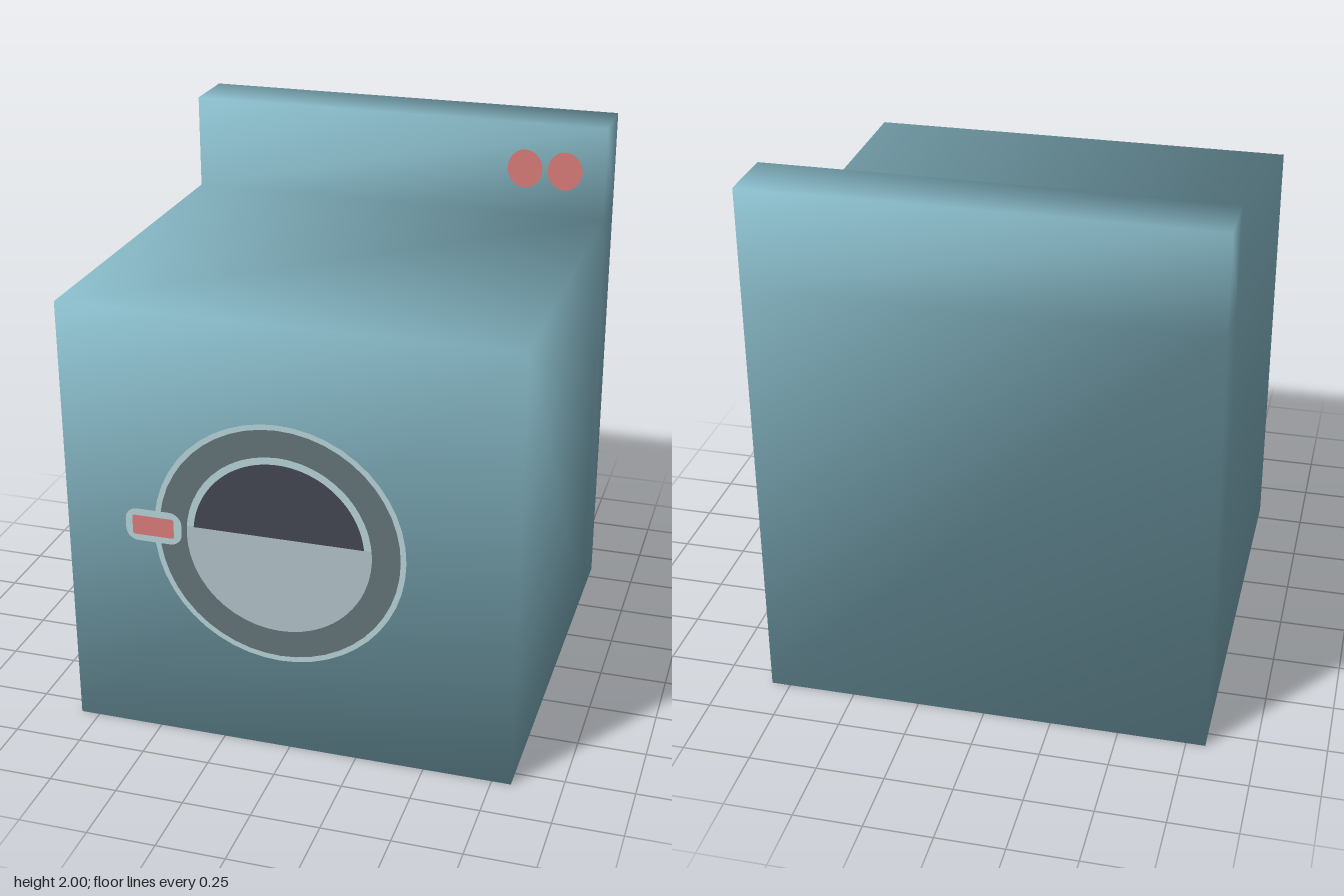
import * as THREE from 'three';

const material = (name, color, side = THREE.FrontSide) => {
  const m = new THREE.MeshStandardMaterial({ color, side });
  m.name = name;
  return m;
};

const HALF = 0.82;        // half width and half depth
const TOP = 1.64;         // top of the cabinet
const PANEL_Z = -0.585;   // front of the raised control panel

// Cabinet and control panel: one side profile (z, y) spanned across x, with
// soft normals shared by all faces meeting at a corner.
function cabinetGeometry() {
  const profile = [
    [HALF, 0], [HALF, TOP], [PANEL_Z, TOP], [PANEL_Z, 2],
    [-HALF, 2], [-HALF, TOP], [-HALF, 0], [PANEL_Z, 0],
  ];
  const points = profile.flatMap(([z, y]) => [
    new THREE.Vector3(-HALF, y, z), new THREE.Vector3(HALF, y, z),
  ]);
  const quads = [];
  // walls running across the width
  profile.forEach((_, i) => {
    const j = (i + 1) % profile.length;
    quads.push([2 * i, 2 * i + 1, 2 * j + 1, 2 * j]);
  });
  // right and left sides
  for (const q of [[0, 1, 2, 7], [7, 2, 5, 6], [2, 3, 4, 5]]) {
    quads.push(q.map((i) => 2 * i));
    quads.push(q.map((i) => 2 * i + 1).reverse());
  }
  const normals = points.map(() => new THREE.Vector3());
  const index = [];
  for (const [a, b, c, d] of quads) {
    const n = points[b].clone().sub(points[a])
      .cross(points[c].clone().sub(points[a])).normalize();
    for (const i of [a, b, c, d]) normals[i].add(n);
    index.push(a, b, c, a, c, d);
  }
  normals.forEach((n) => n.normalize());
  const flat = (list) => list.flatMap((v) => v.toArray());
  const geometry = new THREE.BufferGeometry();
  geometry.setAttribute('position', new THREE.Float32BufferAttribute(flat(points), 3));
  geometry.setAttribute('normal', new THREE.Float32BufferAttribute(flat(normals), 3));
  geometry.setIndex(index);
  return geometry;
}

// Rounded rectangle centred on the origin
function roundedRect(w, h, r) {
  const x = w / 2 - r, y = h / 2 - r;
  const s = new THREE.Shape();
  s.absarc(x, y, r, 0, Math.PI / 2);
  s.absarc(-x, y, r, Math.PI / 2, Math.PI);
  s.absarc(-x, -y, r, Math.PI, Math.PI * 1.5);
  s.absarc(x, -y, r, Math.PI * 1.5, Math.PI * 2);
  s.closePath();
  return s;
}

// Part of a disc cut by a horizontal line; upper or lower piece
function discSegment(radius, cut, upper) {
  const a = Math.asin(cut / radius);
  const s = new THREE.Shape();
  if (upper) s.absarc(0, 0, radius, a, Math.PI - a);
  else s.absarc(0, 0, radius, Math.PI - a, Math.PI * 2 + a);
  s.closePath();
  return s;
}

export function createModel() {
  const blue = material('cabinet blue', 0x88bac8);
  const grey = material('door ring grey', 0x64767a);
  const pale = material('pale trim', 0xb9d5da);
  const dark = material('dark glass', 0x444753);
  const water = material('water grey', 0xb4c4ca);
  const red = material('control red', 0xdc7e7c);

  const model = new THREE.Group();
  model.name = 'washingMachine';

  const add = (parent, name, geometry, mat, x = 0, y = 0, z = 0) => {
    const mesh = new THREE.Mesh(geometry, mat);
    mesh.name = name;
    mesh.position.set(x, y, z);
    parent.add(mesh);
    return mesh;
  };
  const plate = (shape) => new THREE.ShapeGeometry(shape, 24);

  add(model, 'cabinet', cabinetGeometry(), blue);

  // Round door painted on the front
  const door = new THREE.Group();
  door.name = 'door';
  door.position.set(-0.03, 0.82, HALF + 0.002);
  model.add(door);
  const level = 0.03; // water line above the door centre
  add(door, 'doorOuterTrim', new THREE.RingGeometry(0.44, 0.46, 48), pale);
  add(door, 'doorRing', new THREE.RingGeometry(0.338, 0.44, 48), grey);
  add(door, 'doorInnerTrim', plate(discSegment(0.338, level, true)), pale);
  add(door, 'doorWater', plate(discSegment(0.338, level, false)), water);
  add(door, 'doorGlass', plate(discSegment(0.312, level, true)), dark, 0, 0, 0.002);

  // Door handle with a pale surround
  add(door, 'handleTrim', plate(roundedRect(0.21, 0.125, 0.045)), pale, -0.462, 0.01, 0.002);
  add(door, 'handle', plate(roundedRect(0.155, 0.075, 0.008)), red, -0.463, 0.01, 0.004);

  // Two buttons on the control panel
  [0.51, 0.665].forEach((x, i) => {
    const button = add(model, `button${i + 1}`, new THREE.CircleGeometry(1, 24), red,
      x, 1.82, PANEL_Z + 0.002);
    button.scale.set(0.068, 0.075, 1);
  });

  return model;
}
